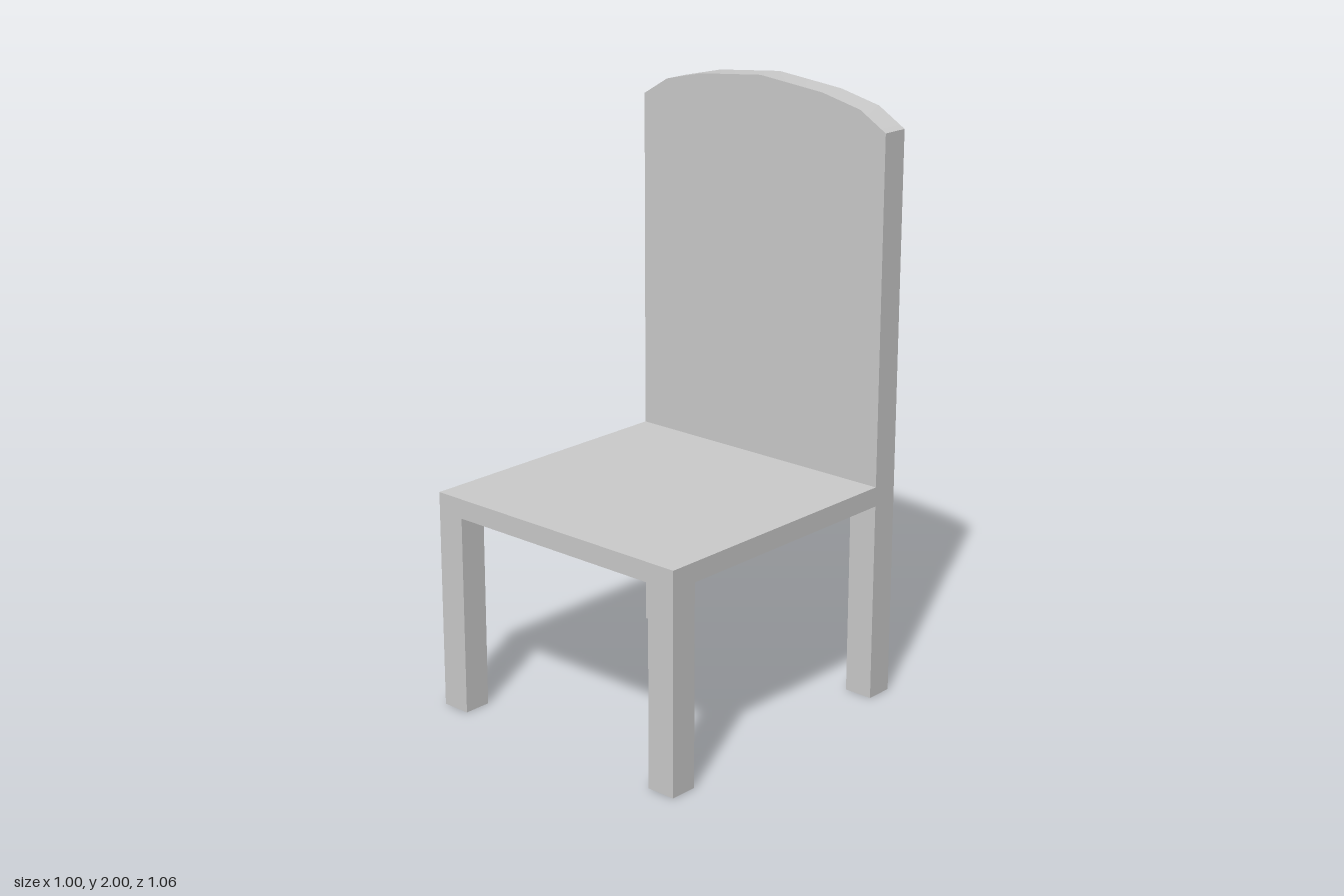
import * as THREE from 'three';
import { toCreasedNormals } from 'three/addons/utils/BufferGeometryUtils.js';

const HALF_W = 0.5, HALF_D = 0.53;
const LEG_W = 0.1, THICK = 0.095;
const SEAT_BOTTOM = 0.67, SEAT_TOP = 0.735;

export function createModel() {
  const chair = new THREE.Group();
  chair.name = 'chair';
  const material = new THREE.MeshStandardMaterial({ color: 0xcccccc });

  const add = (name, geometry, x, y, z) => {
    const mesh = new THREE.Mesh(geometry, material);
    mesh.name = name;
    mesh.position.set(x, y, z);
    chair.add(mesh);
  };

  // Seat slab, butting against the backrest
  const seatDepth = 2 * HALF_D - THICK;
  add('seat', new THREE.BoxGeometry(2 * HALF_W, SEAT_TOP - SEAT_BOTTOM, seatDepth),
    0, (SEAT_TOP + SEAT_BOTTOM) / 2, HALF_D - seatDepth / 2);

  // Four legs, flush with the outer corners
  const leg = new THREE.BoxGeometry(LEG_W, SEAT_BOTTOM, THICK);
  for (const [sideName, sx] of [['Left', 1], ['Right', -1]]) {
    for (const [endName, sz] of [['front', 1], ['back', -1]]) {
      add(`${endName}${sideName}Leg`, leg,
        sx * (HALF_W - LEG_W / 2), SEAT_BOTTOM / 2, sz * (HALF_D - THICK / 2));
    }
  }

  // Backrest panel with a gently arched top
  const arch = [[0.5, 1.88], [0.4, 1.94], [0.25, 1.975], [0, 2], [-0.25, 1.975], [-0.4, 1.94], [-0.5, 1.88]];
  const outline = new THREE.Shape();
  outline.moveTo(-HALF_W, SEAT_BOTTOM);
  outline.lineTo(HALF_W, SEAT_BOTTOM);
  for (const [x, y] of arch) outline.lineTo(x, y);
  outline.closePath();
  const panel = new THREE.ExtrudeGeometry(outline, { depth: THICK, bevelEnabled: false });
  add('backrest', toCreasedNormals(panel, 0.6), 0, 0, -HALF_D);

  return chair;
}
